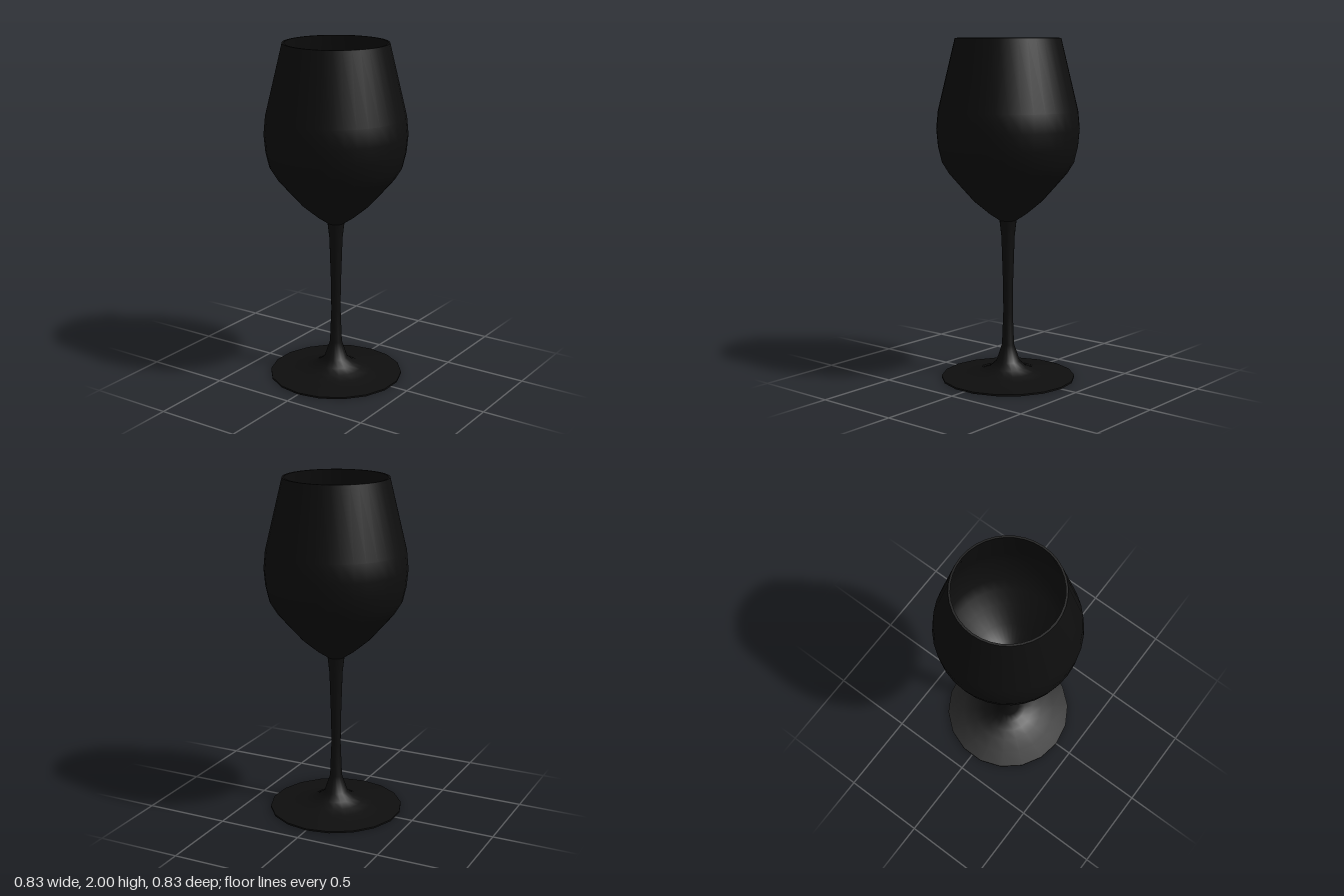
import * as THREE from 'three';

export function createModel() {
  const group = new THREE.Group();
  const glass = new THREE.MeshStandardMaterial({ color: 0x0e0e0e });
  glass.name = 'black glass';

  // Profiles run so that the outside of each surface faces the viewer
  const lathe = (name, profile, sides) => {
    const points = profile.map(([r, y]) => new THREE.Vector2(r, y));
    const mesh = new THREE.Mesh(new THREE.LatheGeometry(points, sides), glass);
    mesh.name = name;
    group.add(mesh);
  };

  // Foot: hollowed underside and thin edge
  lathe('footUnderside', [[0, 0.05], [0.07, 0.04], [0.2, 0.015], [0.395, 0]], 18);
  lathe('footEdge', [[0.395, 0], [0.395, 0.01]], 18);

  // Foot top flaring into the slender stem
  lathe('footAndStem', [
    [0.395, 0.01], [0.3, 0.018], [0.22, 0.028], [0.16, 0.042], [0.11, 0.065],
    [0.07, 0.1], [0.036, 0.2], [0.028, 0.4], [0.029, 0.55], [0.034, 0.7],
    [0.039, 0.85], [0.05, 0.945],
  ], 18);

  // Bowl: outer wall, flat lip and inner wall
  const wall = [
    [0.05, 0.945], [0.11, 0.985], [0.2, 1.06], [0.28, 1.15], [0.345, 1.225],
    [0.385, 1.29], [0.406, 1.38], [0.415, 1.48], [0.405, 1.585], [0.305, 2],
  ];
  const inner = wall.map(([r, y], i) => [r - 0.012, y + 0.02 * (1 - i / (wall.length - 1))]);
  inner[0] = [0, 0.965];
  lathe('bowlOuter', wall, 36);
  lathe('bowlLip', [[0.305, 2], [0.293, 2]], 36);
  lathe('bowlInner', inner.reverse(), 36);

  return group;
}
